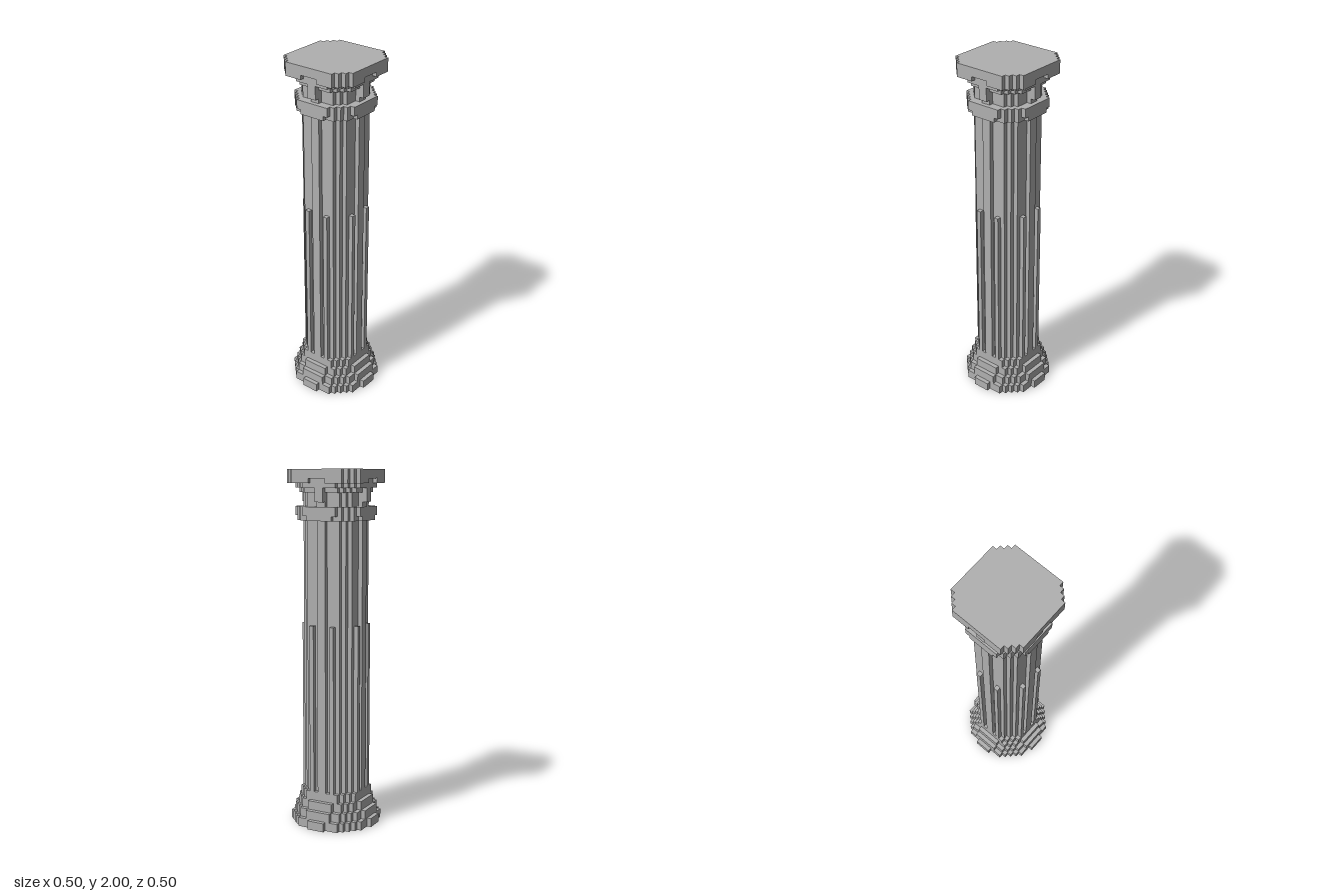
import * as THREE from 'three';

const U = 0.025; // one block

// Eightfold-symmetric stepped outline: h[i] is the half width of block row i, up to the diagonal
function steppedShape(h) {
  const oct = [];
  h.forEach((w, i) => {
    if (i > 0 && w !== h[i - 1]) oct.push([w, i]);
    if (w !== h[i + 1]) oct.push([w, i + 1]);
  });
  const n = h.length;
  const mirrored = oct.map(([x, y]) => [y, x]).reverse();
  let quad = [...oct, [n, n], ...mirrored];
  quad = quad.filter((p, i) => i === 0 || p[0] !== quad[i - 1][0] || p[1] !== quad[i - 1][1]);
  const pts = [];
  for (let k = 0; k < 4; k++) {
    quad.forEach(([x, y]) => pts.push(new THREE.Vector2(x * U, y * U)));
    quad = quad.map(([x, y]) => [-y, x]);
  }
  return new THREE.Shape(pts);
}

export function createModel() {
  const stone = new THREE.MeshStandardMaterial({ color: 0xb0b0b0 });
  stone.name = 'grey stone';
  const model = new THREE.Group();
  model.name = 'column';

  // name, bottom and top in blocks, outline rows
  const layers = [
    ['baseFoot', 0, 2, [10, 10, 9, 9, 9, 8, 7]],
    ['baseLowerStep', 2, 4, [9, 9, 9, 8, 8, 7]],
    ['baseMiddleStep', 4, 6, [8, 8, 8, 7, 7, 6]],
    ['baseUpperStep', 6, 8, [7, 7, 7, 7, 6]],
    ['flutedShaft', 8, 69, [7, 6, 6, 6, 5]],
    ['collarLower', 69, 70, [8, 8, 8, 7, 7, 6]],
    ['collarUpper', 70, 72, [8, 8, 8, 8, 7, 6]],
    ['neck', 72, 73, [7, 6, 6, 6, 5]],
    ['neckWithTabs', 73, 75, [8, 6, 6, 6, 5]],
    ['capitalFlare', 75, 76, [8, 7, 7, 7, 6]],
    ['capitalStep', 76, 77, [8, 8, 8, 8, 7, 6]],
    ['capNotched', 77, 78, [8, 8, 9, 9, 9, 9, 8]],
    ['capSlab', 78, 80, [9, 9, 9, 9, 9, 9, 8]],
  ];
  for (const [name, y0, y1, rows] of layers) {
    const geo = new THREE.ExtrudeGeometry(steppedShape(rows), { depth: (y1 - y0) * U, bevelEnabled: false });
    geo.rotateX(-Math.PI / 2);
    const mesh = new THREE.Mesh(geo, stone);
    mesh.name = name;
    mesh.position.y = y0 * U;
    model.add(mesh);
  }

  // Raised ribs on the lower part of the shaft, two on each side
  const ribs = new THREE.Group();
  ribs.name = 'shaftRibs';
  const ribGeo = new THREE.BoxGeometry(U, 38 * U, U);
  for (let side = 0; side < 4; side++) {
    const face = new THREE.Group();
    face.name = 'ribPair';
    face.rotation.y = side * Math.PI / 2;
    for (const s of [-1, 1]) {
      const rib = new THREE.Mesh(ribGeo, stone);
      rib.name = 'rib';
      rib.position.set(s * 2.5 * U, 27 * U, 6.5 * U);
      face.add(rib);
    }
    ribs.add(face);
  }
  model.add(ribs);
  return model;
}
